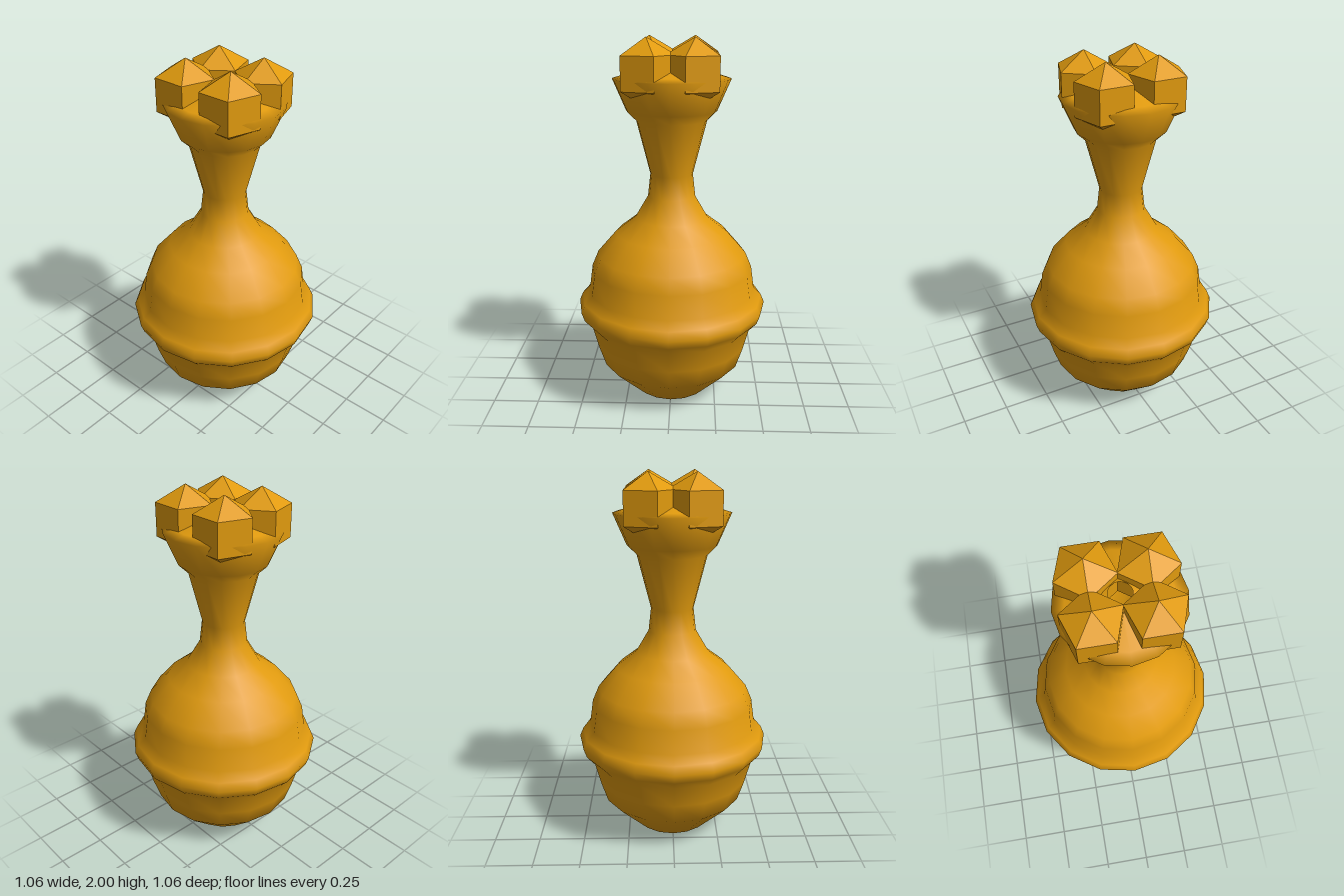
import * as THREE from 'three';

export function createModel() {
  const group = new THREE.Group();
  const amber = new THREE.MeshStandardMaterial({ color: 0xe09a0e, side: THREE.DoubleSide });
  amber.name = 'amber';

  // Turned body: bowl, belt, shoulder, neck and flared head, open at both ends
  const profile = [
    [0.057, 0], [0.205, 0], [0.397, 0.185], [0.435, 0.3], [0.468, 0.425],
    [0.513, 0.476], [0.53, 0.525], [0.51, 0.571], [0.468, 0.614], [0.45, 0.74],
    [0.414, 0.825], [0.31, 0.945], [0.2, 1.03], [0.13, 1.15], [0.116, 1.275],
    [0.19, 1.566], [0.242, 1.616], [0.315, 1.785], [0.255, 1.803], [0.057, 1.867],
  ].map(([r, y]) => new THREE.Vector2(r, y));
  const body = new THREE.Mesh(new THREE.LatheGeometry(profile, 16), amber);
  body.name = 'body';
  group.add(body);

  // Four faceted five-sided knobs, each with a corner turned towards the middle
  for (const sz of [-1, 1]) {
    const geometry = new THREE.SphereGeometry(0.175, 5, 3, -sz * Math.PI / 2).toNonIndexed();
    geometry.computeVertexNormals();
    for (const sx of [-1, 1]) {
      const knob = new THREE.Mesh(geometry, amber);
      knob.name = (sz > 0 ? 'front' : 'back') + (sx > 0 ? 'Left' : 'Right') + 'Knob';
      knob.position.set(sx * 0.142, 1.825, sz * 0.124);
      group.add(knob);
    }
  }
  return group;
}
